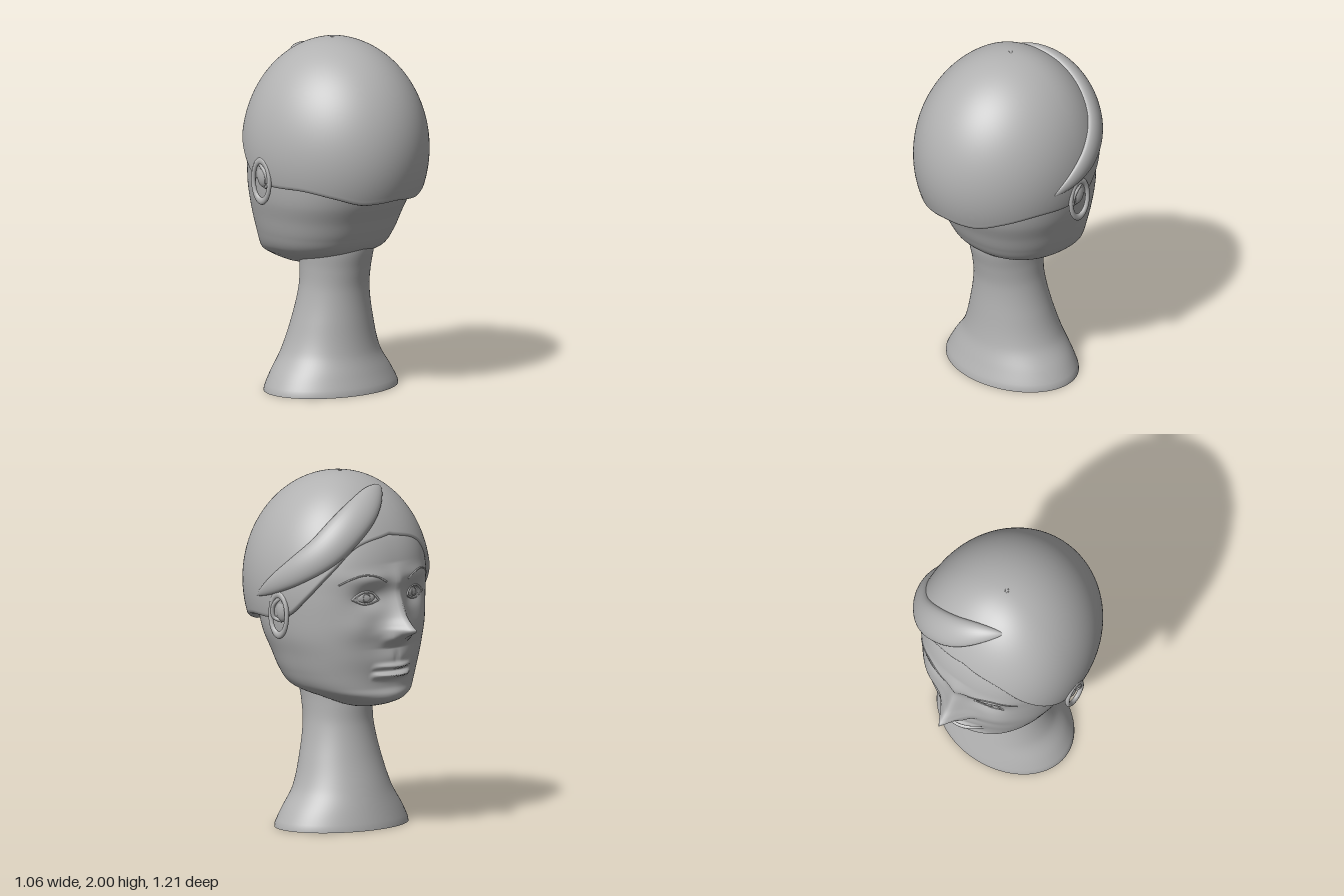
import * as THREE from 'three';

const gray = new THREE.MeshStandardMaterial({ color: 0xb2b2b2 });
gray.name = 'plaster gray';

// Smooth interpolation through sorted rows [key, a, b, ...]
function interp(rows, k, c = 1) {
  const n = rows.length - 1;
  k = Math.min(Math.max(k, rows[0][0]), rows[n][0]);
  let i = 0;
  while (i < n - 1 && k > rows[i + 1][0]) i++;
  const slope = j => {
    const a = rows[Math.max(j - 1, 0)], b = rows[Math.min(j + 1, n)];
    return (b[c] - a[c]) / (b[0] - a[0]);
  };
  const h = rows[i + 1][0] - rows[i][0], t = (k - rows[i][0]) / h, t2 = t * t, t3 = t2 * t;
  return (2 * t3 - 3 * t2 + 1) * rows[i][c] + (t3 - 2 * t2 + t) * h * slope(i)
    + (3 * t2 - 2 * t3) * rows[i + 1][c] + (t3 - t2) * h * slope(i + 1);
}

// Closed-ring loft: point(angle, v) for v in 0..1, rings wound counter-clockwise
function loft(point, nu, nv) {
  const pos = [], idx = [];
  for (let j = 0; j <= nv; j++)
    for (let i = 0; i < nu; i++) pos.push(...point(i / nu * Math.PI * 2, j / nv, j));
  for (let j = 0; j < nv; j++)
    for (let i = 0; i < nu; i++) {
      const a = j * nu + i, b = j * nu + (i + 1) % nu, c = a + nu, d = b + nu;
      idx.push(a, b, d, a, d, c);
    }
  const g = new THREE.BufferGeometry();
  g.setAttribute('position', new THREE.Float32BufferAttribute(pos, 3));
  g.setIndex(idx);
  g.computeVertexNormals();
  return g;
}

const spow = (s, p) => Math.sign(s) * Math.pow(Math.abs(s), p);
const gauss = (d, s) => Math.exp(-d * d / (s * s));

// Head sections: y, half width, face z, nape z
const HEAD = [
  [.685, .005, -.175, -.15], [.70, .10, -.27, -.08], [.72, .155, -.34, 0], [.745, .21, -.39, .09],
  [.78, .285, -.405, .2], [.82, .33, -.4, .28], [.9, .368, -.405, .335], [1, .40, -.42, .38],
  [1.1, .43, -.425, .425], [1.2, .445, -.43, .45], [1.35, .455, -.435, .47], [1.5, .45, -.435, .47],
  [1.65, .415, -.392, .42], [1.75, .36, -.32, .35], [1.85, .26, -.2, .22], [1.9, .01, .02, .04]];
// Nose: y, projection, spread
const NOSE = [[1.05, 0, .08], [1.08, .045, .08], [1.115, .10, .08], [1.155, .178, .07], [1.18, .15, .068],
  [1.23, .095, .06], [1.31, .05, .05], [1.37, .026, .045], [1.43, .028, .06], [1.53, 0, .08]];

// Facial relief, measured forward from the smooth head
function relief(x, y) {
  const ax = Math.abs(x);
  let d = interp(NOSE, y) * Math.exp(-Math.pow(ax / interp(NOSE, y, 2), 1.4));
  d += .025 * gauss(ax - .065, .03) * gauss(y - 1.11, .03);                    // nostrils
  d -= .035 * gauss(ax - .17, .09) * gauss(y - 1.34, .06);                     // eye sockets
  d += .014 * gauss(ax - .17, .12) * gauss(y - 1.45, .04);                     // brow
  d += .014 * gauss(ax - .24, .09) * gauss(y - 1.17, .08);                     // cheeks
  d += .03 * gauss(x, .12) * gauss(y - .98, .08);                              // muzzle
  const lip = Math.max(0, 1 - (x / .15) ** 2);
  d += lip * (.055 * gauss(y - .895, .018) + .032 * gauss(y - .945, .016) - .014 * gauss(y - .92, .01));
  d -= .008 * gauss(x, .015) * gauss(y - 1, .035);                             // philtrum
  return d + .012 * gauss(x, .1) * gauss(y - .77, .04);                        // chin
}
const EXP = 2.3;
function faceZ(x, y) {
  const zf = interp(HEAD, y, 2), zc = (zf + interp(HEAD, y, 3)) / 2, w = interp(HEAD, y);
  return zc + (zf - zc) * Math.pow(Math.max(0, 1 - Math.pow(Math.abs(x) / w, EXP)), 1 / EXP) - relief(x, y);
}

function headPoint(a, v) {
  const y = .685 + 1.215 * v, w = interp(HEAD, y), zf = interp(HEAD, y, 2), zb = interp(HEAD, y, 3);
  const s = Math.sin(a), c = Math.cos(a), zc = (zf + zb) / 2;
  if (c >= 0) return [w * spow(s, 2 / EXP), y, zc + (zb - zc) * Math.pow(c, 2 / EXP)];
  const x = w * spow(s, 2 / EXP);
  return [x, y, zc + (zf - zc) * Math.pow(-c, 2 / EXP) - relief(x, y) * Math.min(1, -c * 3)];
}

// Neck sections: y, half width, front z, back z
const NECK = [[0, .42, -.305, .33], [.02, .418, -.302, .328], [.1, .375, -.28, .3], [.22, .295, -.245, .262],
  [.41, .235, -.19, .24], [.58, .2, -.157, .236], [.7, .195, -.157, .255], [.82, .2, -.16, .282], [.95, .19, -.15, .28]];
function neckPoint(a, v) {
  const y = .95 * v, zf = interp(NECK, y, 2), zb = interp(NECK, y, 3);
  return [interp(NECK, y) * Math.sin(a), y, (zf + zb) / 2 + (zb - zf) / 2 * Math.cos(a)];
}

// Hair cap: half egg with a waved lower edge, given as degrees from the back and height
const EDGE = [[0, 1.14], [15, 1.13], [27, 1.13], [45, 1.17], [65, 1.205], [90, 1.21], [102, 1.24],
  [116, 1.34], [132, 1.47], [152, 1.61], [180, 1.67]];
const CY = 1.38, CZ = .03, RX = .512, RY = .62, RB = .575, RF = .475;
function capPoint(a, v, j) {
  const deg = 180 - Math.abs(180 - a * 180 / Math.PI), e = interp(EDGE, deg);
  const s = Math.sin(a), c = Math.cos(a), p = c < 0 ? 2 / 2.2 : 1;
  const lip = [[.82, .03], [.9, .008], [.95, 0], [.98, .004], [.995, .014]][j];
  const low = Math.asin((e + .024 - CY) / RY);
  const phi = lip ? low : low + (Math.PI / 2 - low) * (j - 5) / 75;
  const r = Math.cos(phi) * (lip ? lip[0] : 1);
  return [RX * r * spow(s, p), lip ? e + lip[1] : CY + RY * Math.sin(phi), CZ + (c < 0 ? RF : RB) * r * spow(c, p)];
}

// Swept fringe: a flattened, tapering lock lying on the hair cap
const fringePath = new THREE.CatmullRomCurve3([[-.12, 1.9, -.16], [0, 1.9, -.25], [.13, 1.83, -.3], [.26, 1.73, -.3],
  [.37, 1.6, -.24], [.45, 1.49, -.12], [.49, 1.4, .03], [.5, 1.325, .18]].map(p => new THREE.Vector3(...p)));
function fringePoint(a, v) {
  const p = fringePath.getPoint(v), t = fringePath.getTangent(v);
  const d = p.clone().sub(new THREE.Vector3(0, CY, CZ));
  const rz = d.z < 0 ? RF : RB;
  d.multiplyScalar(1 / Math.hypot(d.x / RX, d.y / RY, d.z / rz));
  const n = new THREE.Vector3(d.x / RX ** 2, d.y / RY ** 2, d.z / rz ** 2).normalize();
  const side = n.clone().cross(t).normalize();
  const f = Math.pow(Math.max(0, Math.sin(Math.PI * v)), .75);
  const w = (.025 + .095 * (1 - .35 * v)) * f, h = (.07 - .028 * v) * f;
  d.add(new THREE.Vector3(0, CY, CZ));
  d.addScaledVector(side, w * Math.cos(a)).addScaledVector(n, h * Math.sin(a));
  return d.toArray();
}

export function createModel() {
  const model = new THREE.Group();
  model.name = 'mannequinHead';
  const add = (geo, name, parent = model) => {
    const m = new THREE.Mesh(geo, gray);
    m.name = name;
    parent.add(m);
    return m;
  };

  add(loft(headPoint, 200, 170), 'head');
  add(loft(neckPoint, 80, 48), 'neck');
  add(loft(capPoint, 120, 80), 'hairCap');
  add(loft(fringePoint, 28, 64), 'fringe');

  // Flat base under the neck
  const base = add(new THREE.CircleGeometry(1, 80), 'base');
  base.rotation.x = Math.PI / 2;
  base.scale.set(.42, .3175, 1);
  base.position.set(0, 0, .0125);

  // Small rim at the crown
  const rim = add(new THREE.TorusGeometry(.011, .003, 8, 20), 'crownRim');
  rim.rotation.x = Math.PI / 2;
  rim.position.set(0, 1.998, .025);

  // Thin raised line following the face through (x, y) points
  const line = (pts, r, name, parent) => {
    const curve = new THREE.CatmullRomCurve3(pts.map(([x, y]) => new THREE.Vector3(x, y, faceZ(x, y))));
    return add(new THREE.TubeGeometry(curve, 28, r, 6), name, parent);
  };

  for (const s of [1, -1]) {
    const eye = new THREE.Group();
    eye.name = s > 0 ? 'leftEye' : 'rightEye';
    model.add(eye);
    const ex = s * .18, ey = 1.34, ez = faceZ(ex, ey);
    const ball = add(new THREE.SphereGeometry(1, 28, 18), 'eyeball', eye);
    ball.scale.set(.06, .032, .016);
    ball.position.set(ex, ey, ez + .002);
    ball.rotation.y = -s * .3;
    const iris = add(new THREE.TorusGeometry(.022, .003, 8, 24), 'iris', eye);
    iris.position.set(ex, ey, ez - .012);
    iris.rotation.y = -s * .3;
    line([[s * .105, 1.325], [s * .14, 1.365], [s * .185, 1.378], [s * .23, 1.365], [s * .27, 1.335]], .006, 'upperLid', eye);
    line([[s * .105, 1.325], [s * .15, 1.308], [s * .2, 1.305], [s * .27, 1.335]], .004, 'lowerLid', eye);
    line([[s * .08, 1.43], [s * .14, 1.462], [s * .21, 1.475], [s * .28, 1.455], [s * .335, 1.42]], .005, 'eyebrow', eye);

    // Ear with a hanging hoop
    const ear = new THREE.Group();
    ear.name = s > 0 ? 'leftEar' : 'rightEar';
    model.add(ear);
    const lobe = add(new THREE.SphereGeometry(1, 24, 16), 'earLobe', ear);
    lobe.scale.set(.035, .075, .045);
    lobe.position.set(s * .475, 1.27, -.02);
    const helix = new THREE.CatmullRomCurve3([[.47, 1.2, -.01], [.495, 1.22, .035], [.505, 1.28, .03], [.5, 1.33, -.02],
      [.48, 1.34, -.06], [.48, 1.29, -.055]].map(([x, y, z]) => new THREE.Vector3(s * x, y, z)));
    add(new THREE.TubeGeometry(helix, 40, .013, 10), 'earRim', ear);
    const hoop = add(new THREE.TorusGeometry(1, .19, 12, 48), 'earring', ear);
    hoop.rotation.y = Math.PI / 2;
    hoop.scale.set(.066, .115, .07);
    hoop.position.set(s * .503, 1.238, -.012);
  }
  return model;
}
